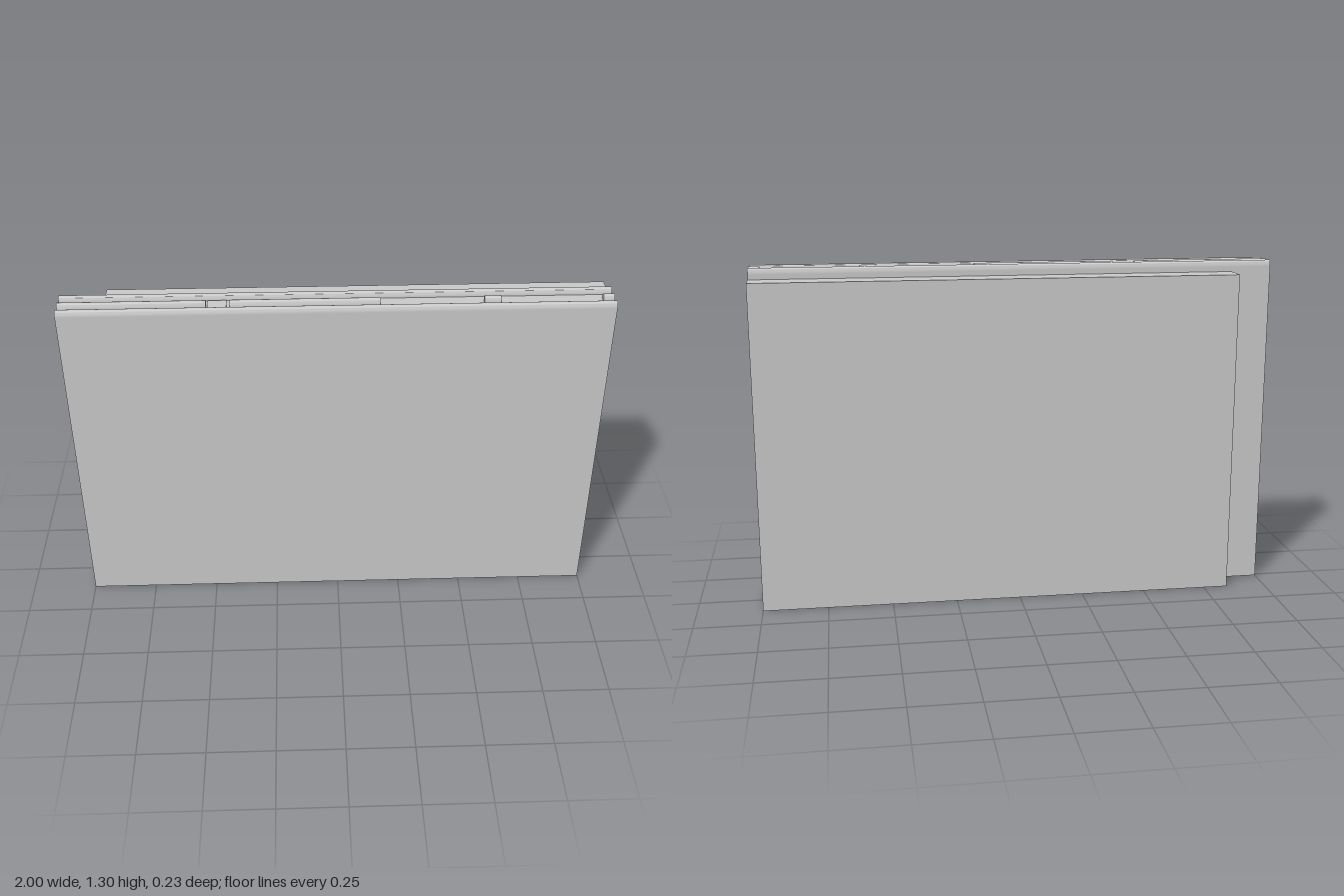
import * as THREE from 'three';
import { toCreasedNormals } from 'three/addons/utils/BufferGeometryUtils.js';

const FRONT = 0.116, CORE_BACK = -0.012, CORE_TOP = 1.28;
const RIDGE_R = 0.0125, RIDGE_TOP = 1.304, GROOVE_X = -0.972;
const RIDGE_Z = [CORE_BACK + RIDGE_R, (CORE_BACK + FRONT) / 2, FRONT - RIDGE_R];

export function createModel() {
  const group = new THREE.Group();
  const material = new THREE.MeshStandardMaterial({ color: 0xcccccc });

  const add = (name, geometry) => {
    const mesh = new THREE.Mesh(geometry, material);
    mesh.name = name;
    group.add(mesh);
  };
  const addBox = (name, x0, x1, y0, y1, z0, z1) => {
    const geometry = new THREE.BoxGeometry(x1 - x0, y1 - y0, z1 - z0);
    geometry.translate((x0 + x1) / 2, (y0 + y1) / 2, (z0 + z1) / 2);
    add(name, geometry);
  };

  // Front panel: plan outline with two grooves in its right-hand edge, extruded upward
  const plan = new THREE.Shape();
  plan.moveTo(1, -FRONT);
  plan.lineTo(1, -CORE_BACK);
  RIDGE_Z.forEach((z, i) => {
    const back = -(z - RIDGE_R), front = -(z + RIDGE_R);
    if (i > 0) plan.lineTo(GROOVE_X, back);
    plan.lineTo(-1, back);
    plan.lineTo(-1, front);
    if (i < 2) plan.lineTo(GROOVE_X, front);
  });
  plan.closePath();
  const panel = new THREE.ExtrudeGeometry(plan, { depth: CORE_TOP, bevelEnabled: false });
  panel.rotateX(-Math.PI / 2);
  add('frontPanel', panel);

  // Thicker backing slab, set in from the tongued edge
  addBox('backSlab', -0.845, 1, 0, 1.262, -0.116, CORE_BACK);

  // Round-topped ridge running along x
  const addRidge = (name, x0, x1, z) => {
    const straight = RIDGE_TOP - RIDGE_R - CORE_TOP;
    const profile = new THREE.Shape();
    profile.moveTo(-RIDGE_R, 0);
    profile.lineTo(RIDGE_R, 0);
    profile.lineTo(RIDGE_R, straight);
    profile.absarc(0, straight, RIDGE_R, 0, Math.PI, false);
    profile.closePath();
    const ridge = new THREE.ExtrudeGeometry(profile, { depth: x1 - x0, bevelEnabled: false, curveSegments: 12 });
    ridge.rotateY(Math.PI / 2);
    ridge.translate(x0, CORE_TOP, z);
    add(name, toCreasedNormals(ridge, 0.6));
  };
  addRidge('backRidge', -1, 1, RIDGE_Z[0]);
  addRidge('frontRidge', -1, 1, RIDGE_Z[2]);

  // Interrupted middle ridge
  for (const [x0, x1] of [[-1, -0.47], [-0.385, 0.155], [0.53, 0.59], [0.96, 1]])
    addRidge('middleRidge', x0, x1, RIDGE_Z[1]);

  // Low pad in the gap of the middle ridge
  addBox('topPad', -0.465, -0.397, CORE_TOP, 1.287, 0.021, 0.081);

  return group;
}
